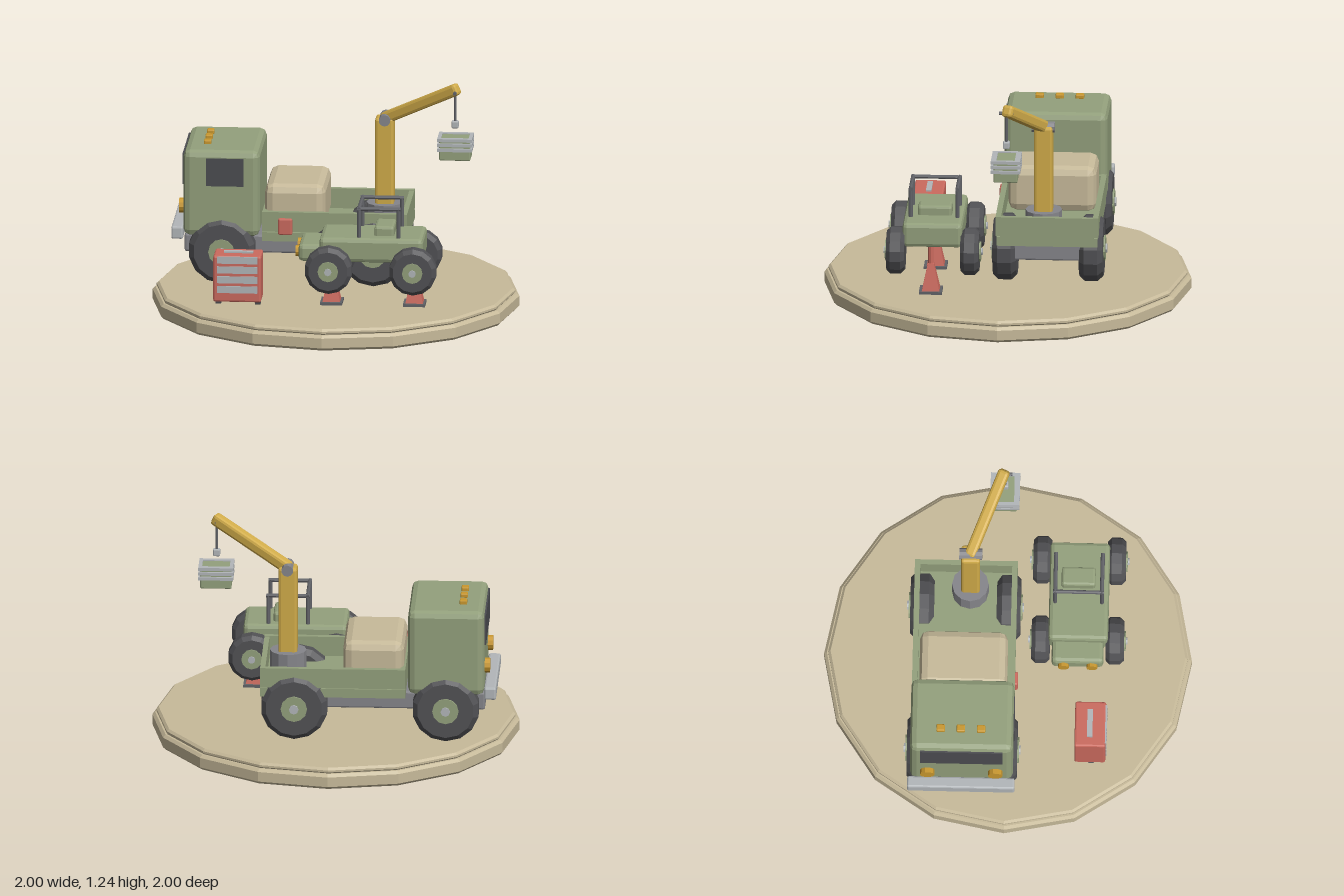
import * as THREE from 'three';
import { RoundedBoxGeometry } from 'three/addons/geometries/RoundedBoxGeometry.js';

const mat = (name, color) => {
  const m = new THREE.MeshStandardMaterial({ color });
  m.name = name;
  return m;
};

export function createModel() {
  const root = new THREE.Group();
  root.name = 'fieldWorkshop';
  const M = {
    green: mat('olive green', 0x93a07c),
    sand: mat('sand', 0xc7ba9a),
    tyre: mat('tyre rubber', 0x515154),
    glass: mat('dark glass', 0x4c4d51),
    steel: mat('steel', 0x85858a),
    light: mat('light metal', 0xb2b6b9),
    yellow: mat('crane yellow', 0xd0ab49),
    amber: mat('amber lamp', 0xc9982f),
    red: mat('workshop red', 0xcb6a5e),
    dark: mat('dark metal', 0x616267),
  };

  // Helpers: faceted geometry, boxes given by extents, rods and discs
  const flat = (g) => {
    const f = g.index ? g.toNonIndexed() : g;
    f.computeVertexNormals();
    return f;
  };
  const group = (name) => {
    const g = new THREE.Group();
    g.name = name;
    root.add(g);
    return g;
  };
  const add = (parent, name, geo, m, x = 0, y = 0, z = 0) => {
    const mesh = new THREE.Mesh(geo, m);
    mesh.name = name;
    mesh.position.set(x, y, z);
    parent.add(mesh);
    return mesh;
  };
  const box = (parent, name, m, [x0, x1], [y0, y1], [z0, z1], chamfer = 0) => {
    const s = [x1 - x0, y1 - y0, z1 - z0];
    const geo = chamfer ? flat(new RoundedBoxGeometry(...s, 1, chamfer)) : new THREE.BoxGeometry(...s);
    return add(parent, name, geo, m, (x0 + x1) / 2, (y0 + y1) / 2, (z0 + z1) / 2);
  };
  const disc = (parent, name, m, r, len, axis, x, y, z, sides = 12, rTop = r) => {
    const geo = flat(new THREE.CylinderGeometry(rTop, r, len, sides));
    if (axis === 'z') geo.rotateX(Math.PI / 2);
    if (axis === 'x') geo.rotateZ(Math.PI / 2);
    return add(parent, name, geo, m, x, y, z);
  };
  const lathe = (pts, sides) =>
    flat(new THREE.LatheGeometry(pts.map(([r, y]) => new THREE.Vector2(r, y)), sides));

  // Round display base with a stepped, chamfered edge
  add(root, 'base', lathe([[0, 0], [0.985, 0], [1, 0.015], [1, 0.07], [0.985, 0.085], [0.972, 0.085],
    [0.978, 0.092], [0.978, 0.103], [0.965, 0.115], [0, 0.115]], 16), M.sand);

  // Chamfered tyre, hub disc and cap; side is +1 or -1 along z
  const wheel = (parent, r, w, hubR, x, y, z, side) => {
    const g = new THREE.Group();
    g.name = 'wheel';
    g.position.set(x, y, z);
    parent.add(g);
    const h = w / 2, c = w * 0.22;
    const tyre = lathe([[0, -h], [r - c, -h], [r, -h + c], [r, h - c], [r - c, h], [0, h]], 14);
    add(g, 'tyre', tyre.rotateX(Math.PI / 2), M.tyre);
    disc(g, 'hub', M.green, hubR, 0.012, 'z', 0, 0, side * (h + 0.003));
    disc(g, 'hubCap', M.light, hubR * 0.36, 0.03, 'z', 0, 0, side * (h + 0.003), 8);
  };

  // Truck: chassis, cab, lamps and bumper
  const truck = group('truck');
  box(truck, 'chassis', M.steel, [-0.83, 0.36], [0.27, 0.37], [-0.42, -0.05], 0.01);
  box(truck, 'cab', M.green, [-0.83, -0.415], [0.38, 0.86], [-0.515, 0.045], 0.035);
  box(truck, 'sideWindow', M.glass, [-0.705, -0.5], [0.665, 0.82], [0.042, 0.05]);
  box(truck, 'windscreen', M.glass, [-0.838, -0.829], [0.66, 0.83], [-0.46, -0.01]);
  box(truck, 'bumper', M.light, [-0.895, -0.83], [0.365, 0.435], [-0.53, 0.055], 0.01);
  for (const z of [-0.42, -0.05]) disc(truck, 'headlight', M.amber, 0.04, 0.04, 'x', -0.838, 0.53, z, 10);
  for (const z of [-0.35, -0.24, -0.13])
    box(truck, 'roofLamp', M.amber, [-0.73, -0.69], [0.855, 0.882], [z - 0.023, z + 0.023], 0.006);
  for (const x of [-0.62, 0.205]) {
    wheel(truck, 0.183, 0.13, 0.072, x, 0.3, 0, 1);
    wheel(truck, 0.183, 0.13, 0.072, x, 0.3, -0.47, -1);
    disc(truck, 'axle', M.steel, 0.03, 0.44, 'z', x, 0.3, -0.235, 8);
  }

  // Open cargo bed with a covered load
  box(truck, 'bedFloor', M.green, [-0.4, 0.39], [0.36, 0.41], [-0.51, 0.04]);
  for (const z of [-0.515, 0.015]) box(truck, 'bedSide', M.green, [-0.4, 0.39], [0.415, 0.525], [z, z + 0.03]);
  for (const x of [-0.4, 0.362]) box(truck, 'bedEnd', M.green, [x, x + 0.028], [0.41, 0.523], [-0.49, 0.02]);
  box(truck, 'coveredLoad', M.sand, [-0.39, -0.06], [0.41, 0.665], [-0.475, 0.003], 0.045);
  box(truck, 'sideLocker', M.red, [-0.312, -0.235], [0.4, 0.492], [0.03, 0.06], 0.008);

  // Crane: pedestal, post, elbow and angled boom
  const crane = group('crane');
  disc(crane, 'pedestal', M.steel, 0.1, 0.12, 'y', 0.25, 0.47, -0.21, 12);
  box(crane, 'post', M.yellow, [0.2, 0.302], [0.5, 1.01], [-0.26, -0.158], 0.014);
  disc(crane, 'elbow', M.steel, 0.032, 0.125, 'z', 0.253, 1, -0.208, 10);
  const from = new THREE.Vector3(0.25, 1, -0.21), to = new THREE.Vector3(0.655, 1.215, -0.035);
  const boom = add(crane, 'boom', flat(new RoundedBoxGeometry(0.062, 0.066, from.distanceTo(to) + 0.02, 1, 0.016)),
    M.yellow);
  boom.position.copy(from).lerp(to, 0.5);
  boom.lookAt(to);
  disc(crane, 'boomPin', M.dark, 0.01, 0.08, 'z', 0.648, 1.2, -0.03, 8);

  // Cable, hook block and slatted crate
  disc(crane, 'cable', M.dark, 0.008, 0.19, 'y', 0.648, 1.115, -0.03, 6);
  box(crane, 'hookBlock', M.light, [0.629, 0.667], [1, 1.04], [-0.048, -0.012], 0.006);
  box(crane, 'crate', M.green, [0.565, 0.735], [0.83, 0.95], [-0.095, 0.035], 0.006);
  for (const y of [0.945, 0.918, 0.89]) {
    for (const s of [-1, 1]) {
      box(crane, 'crateSlat', M.light, [0.555, 0.745], [y - 0.007, y + 0.01],
        [-0.035 + s * 0.065 - 0.01, -0.025 + s * 0.065 + 0.01].map((v) => v));
      const cx = 0.65 + s * 0.085;
      box(crane, 'crateSlat', M.light, [cx - 0.01, cx + 0.01], [y - 0.007, y + 0.01], [-0.1, 0.04]);
    }
  }

  // Buggy: body, nose, seat, lamps and wheels
  const buggy = group('buggy');
  box(buggy, 'body', M.green, [-0.05, 0.515], [0.38, 0.515], [0.22, 0.545], 0.022);
  box(buggy, 'nose', M.green, [-0.165, 0], [0.375, 0.47], [0.24, 0.522], 0.022);
  box(buggy, 'seat', M.green, [0.245, 0.353], [0.5, 0.567], [0.285, 0.47], 0.014);
  for (const z of [0.305, 0.46]) disc(buggy, 'lamp', M.amber, 0.03, 0.03, 'x', -0.168, 0.422, z, 10);
  for (const x of [0.005, 0.465]) {
    wheel(buggy, 0.13, 0.1, 0.056, x, 0.35, 0.582, 1);
    wheel(buggy, 0.13, 0.1, 0.056, x, 0.35, 0.178, -1);
  }

  // Roll cage: four posts, two side rails and one cross bar
  for (const z of [0.253, 0.507]) {
    for (const x of [0.165, 0.38]) disc(buggy, 'cagePost', M.dark, 0.011, 0.175, 'y', x, 0.59, z, 8);
    disc(buggy, 'cageRail', M.dark, 0.011, 0.237, 'x', 0.2725, 0.675, z, 8);
  }
  disc(buggy, 'cageCrossBar', M.dark, 0.011, 0.275, 'z', 0.165, 0.675, 0.38, 8);

  // Jack stands holding the buggy off the ground
  for (const x of [0.008, 0.46]) {
    const jack = group('jackStand');
    box(jack, 'foot', M.dark, [x - 0.06, x + 0.06], [0.113, 0.13], [0.33, 0.455]);
    const cone = flat(new THREE.CylinderGeometry(0.024, 0.068, 0.15, 4).rotateY(Math.PI / 4));
    add(jack, 'cone', cone, M.red, x, 0.203, 0.392);
    disc(jack, 'stem', M.red, 0.015, 0.13, 'y', x, 0.33, 0.392, 8);
  }

  // Rolling tool chest with four drawers
  const chest = group('toolChest');
  box(chest, 'cabinet', M.red, [-0.628, -0.367], [0.145, 0.403], [0.375, 0.543], 0.01);
  for (let i = 0; i < 4; i++) {
    const y = 0.197 + i * 0.055;
    box(chest, 'drawer', M.light, [-0.607, -0.387], [y, y + 0.039], [0.54, 0.549]);
  }
  box(chest, 'handle', M.light, [-0.575, -0.415], [0.4, 0.412], [0.442, 0.472]);
  for (const x of [-0.605, -0.39]) disc(chest, 'caster', M.dark, 0.018, 0.03, 'x', x, 0.133, 0.465, 8);
  return root;
}
